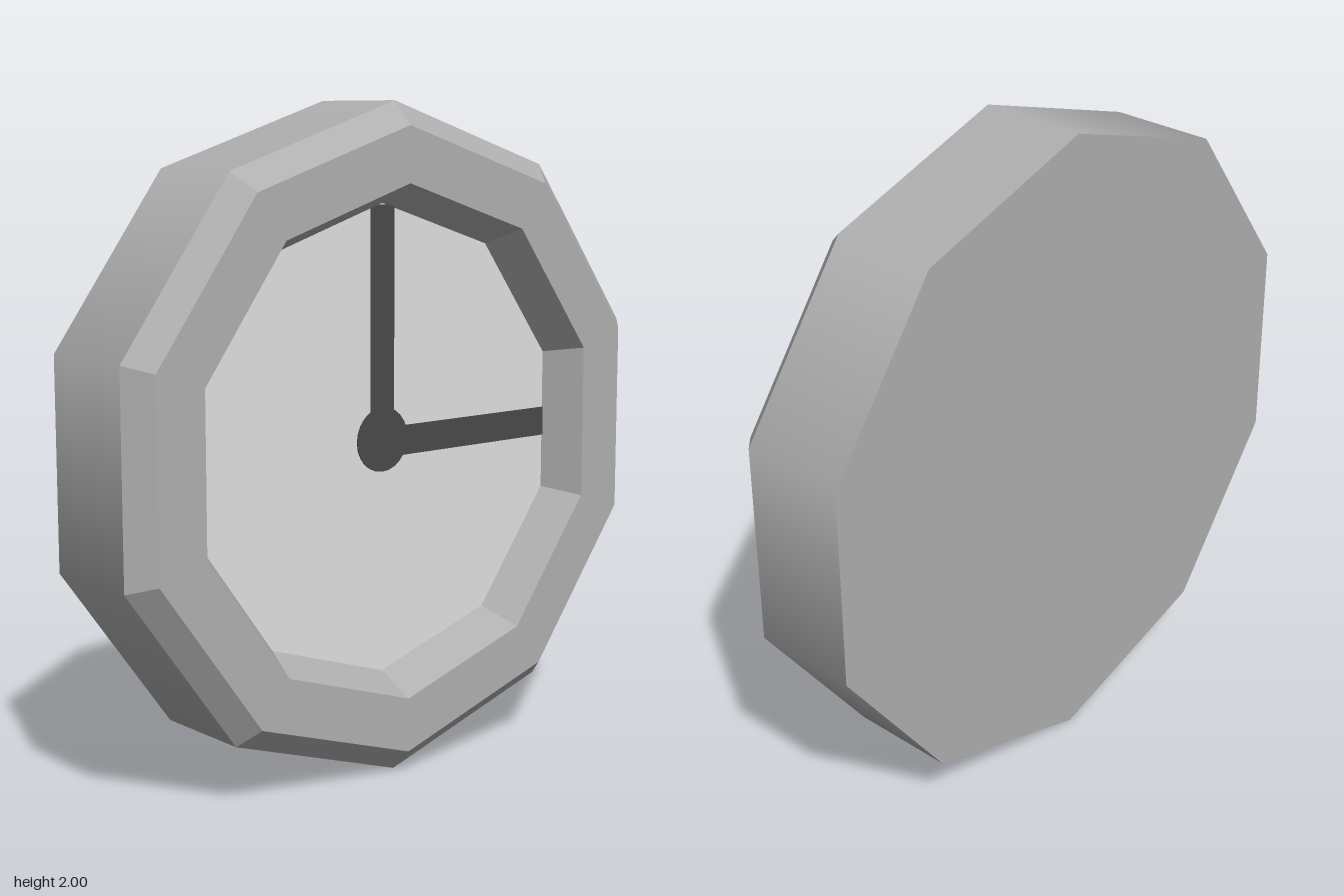
import * as THREE from 'three';

const SIDES = 10;
const FACE_Z = 0.075;

export function createModel() {
  const caseMat = new THREE.MeshStandardMaterial({ color: 0xb0b0b0 });
  caseMat.name = 'case grey';
  const dialMat = new THREE.MeshStandardMaterial({ color: 0xe0e0e0 });
  dialMat.name = 'dial light grey';
  const handMat = new THREE.MeshStandardMaterial({ color: 0x4a4a4a });
  handMat.name = 'hand dark grey';

  const clock = new THREE.Group();
  clock.name = 'wallClock';
  const body = new THREE.Group();
  body.name = 'clockBody';
  body.position.y = 1;
  clock.add(body);

  const add = (name, geometry, material) => {
    const mesh = new THREE.Mesh(geometry, material);
    mesh.name = name;
    body.add(mesh);
    return mesh;
  };

  // Ten-sided surface from [radius, z] pairs, faceted
  const faceted = (profile) => {
    const points = profile.map(([r, z]) => new THREE.Vector2(r, z));
    const geometry = new THREE.LatheGeometry(points, SIDES).rotateX(Math.PI / 2).toNonIndexed();
    geometry.computeVertexNormals();
    return geometry;
  };

  // Outer wall, smooth around the side
  const wall = new THREE.CylinderGeometry(1, 1, 0.33, SIDES, 1, true).rotateX(Math.PI / 2);
  add('outerWall', wall, caseMat).position.z = -0.035;

  // Bevelled front frame sloping down to the dial, back plate and dial
  add('frontFrame', faceted([[1, 0.13], [0.93, 0.2], [0.765, 0.2], [0.705, FACE_Z]]), caseMat);
  add('backPlate', faceted([[0, -0.2], [1, -0.2]]), caseMat);
  add('dial', faceted([[0.705, FACE_Z], [0, FACE_Z]]), dialMat);

  // Thin hands and hub lying on the dial
  const minute = add('minuteHand', new THREE.BoxGeometry(0.09, 0.7, 0.004), handMat);
  minute.position.set(0, 0.35, FACE_Z + 0.001);
  const hour = add('hourHand', new THREE.BoxGeometry(0.675, 0.09, 0.004), handMat);
  hour.position.set(0.3375, -0.005, FACE_Z + 0.001);
  const hubGeometry = new THREE.CylinderGeometry(0.097, 0.097, 0.006, 24).rotateX(Math.PI / 2);
  add('handHub', hubGeometry, handMat).position.set(0, 0.005, FACE_Z + 0.001);

  return clock;
}
